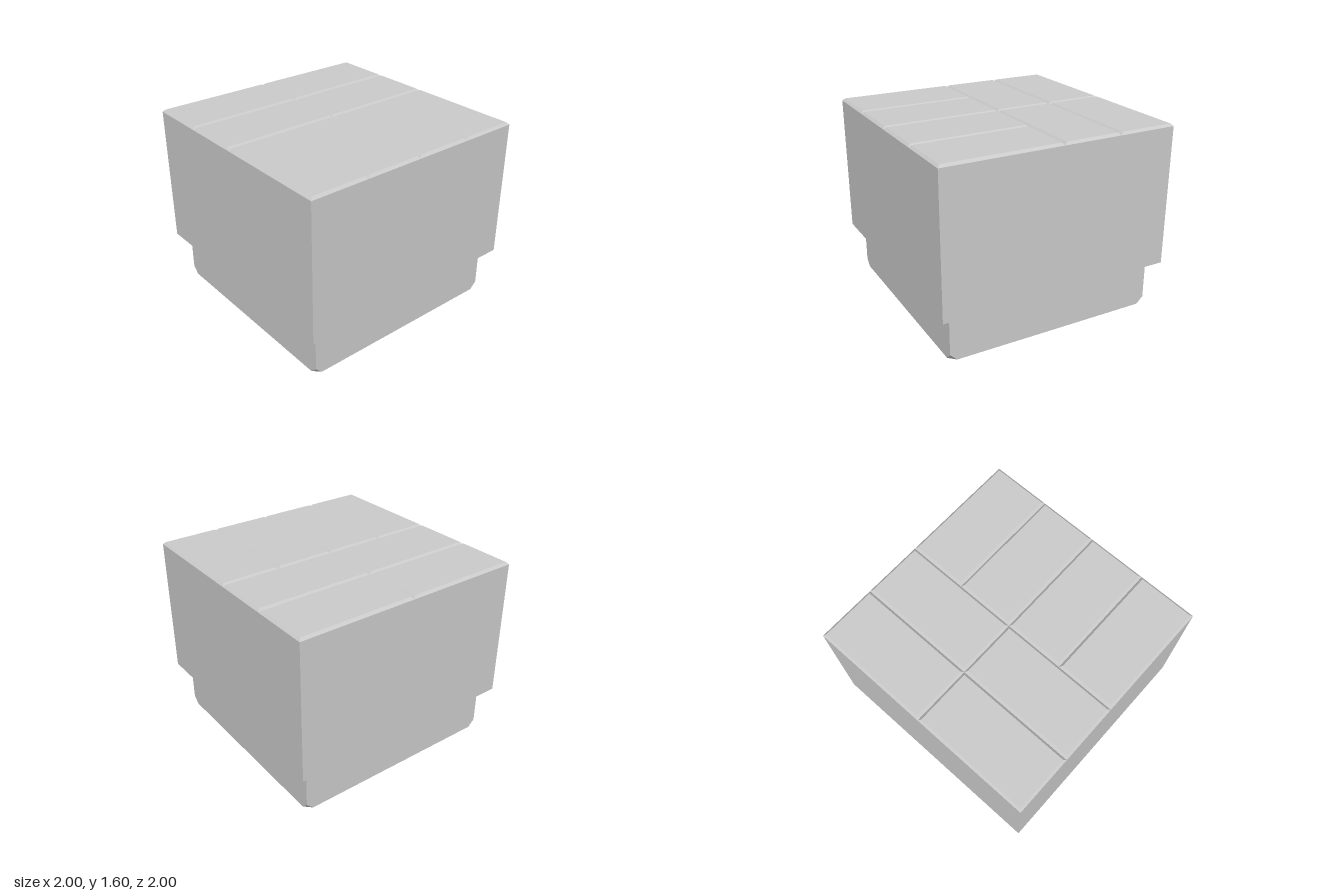
import * as THREE from 'three';

const material = new THREE.MeshStandardMaterial({ color: 0xcccccc, flatShading: true });

// Box standing on y = 0 whose lower and upper ends may differ in size
function frustum(lowerW, lowerD, upperW, upperD, h) {
  const g = new THREE.BoxGeometry(1, h, 1).toNonIndexed();
  g.translate(0, h / 2, 0);
  const p = g.attributes.position;
  for (let i = 0; i < p.count; i++) {
    const upper = p.getY(i) > h / 2;
    p.setX(i, p.getX(i) * (upper ? upperW : lowerW));
    p.setZ(i, p.getZ(i) * (upper ? upperD : lowerD));
  }
  g.computeVertexNormals();
  return g;
}

// Hollow square plinth with its four bottom corner points cut off
function plinthGeometry(half, inner, height, cut) {
  const a = half, b = half - cut;
  const shape = new THREE.Shape([
    [a, -b], [a, b], [b, a], [-b, a], [-a, b], [-a, -b], [-b, -a], [b, -a],
  ].map(([x, y]) => new THREE.Vector2(x, y)));
  shape.holes.push(new THREE.Path([
    [-inner, -inner], [-inner, inner], [inner, inner], [inner, -inner],
  ].map(([x, y]) => new THREE.Vector2(x, y))));
  const g = new THREE.ExtrudeGeometry(shape, { depth: height, steps: 2, bevelEnabled: false });
  g.rotateX(-Math.PI / 2);
  // Above the cut the outline closes up to a full square
  const p = g.attributes.position;
  for (let i = 0; i < p.count; i++) {
    const x = p.getX(i), y = p.getY(i), z = p.getZ(i);
    if (y < 0.01) continue;
    if (y < height * 0.75) p.setY(i, cut);
    if (Math.max(Math.abs(x), Math.abs(z)) > inner + 0.01) {
      p.setX(i, Math.sign(x) * half);
      p.setZ(i, Math.sign(z) * half);
    }
  }
  g.computeVertexNormals();
  return g;
}

export function createModel() {
  const model = new THREE.Group();
  const add = (name, geometry, x, y, z, parent = model) => {
    const mesh = new THREE.Mesh(geometry, material);
    mesh.name = name;
    mesh.position.set(x, y, z);
    parent.add(mesh);
    return mesh;
  };

  const plinthHeight = 0.4, inner = 0.815, bevel = 0.02;

  add('plinth', plinthGeometry(0.91, inner, plinthHeight, 0.058), 0, 0, 0);
  add('body', new THREE.BoxGeometry(2, 1.18, 2), 0, 0.99, 0);

  // Paving slabs: pairs with bevelled edges, turned in a basket weave
  const slabs = new THREE.Group();
  slabs.name = 'pavingSlabs';
  model.add(slabs);
  const slab = frustum(1, 0.5, 1 - 2 * bevel, 0.5 - 2 * bevel, bevel);
  for (const sx of [-1, 1]) {
    for (const sz of [-1, 1]) {
      for (const offset of [-0.25, 0.25]) {
        const alongX = sx !== sz ? sx > 0 : sx < 0;
        const mesh = add('slab', slab, sx * 0.5 + (alongX ? 0 : offset), 1.58,
          sz * 0.5 + (alongX ? offset : 0), slabs);
        if (!alongX) mesh.rotation.y = Math.PI / 2;
      }
    }
  }

  // Blunt pyramids hanging from the ceiling of the hollow plinth
  const studs = new THREE.Group();
  studs.name = 'undersidePyramids';
  model.add(studs);
  const pitch = inner / 2, drop = 0.2;
  const stud = frustum(0.055, 0.055, pitch, pitch, drop);
  for (let i = 0; i < 4; i++) {
    for (let j = 0; j < 4; j++) {
      add('pyramid', stud, (i - 1.5) * pitch, plinthHeight - drop, (j - 1.5) * pitch, studs);
    }
  }
  return model;
}
